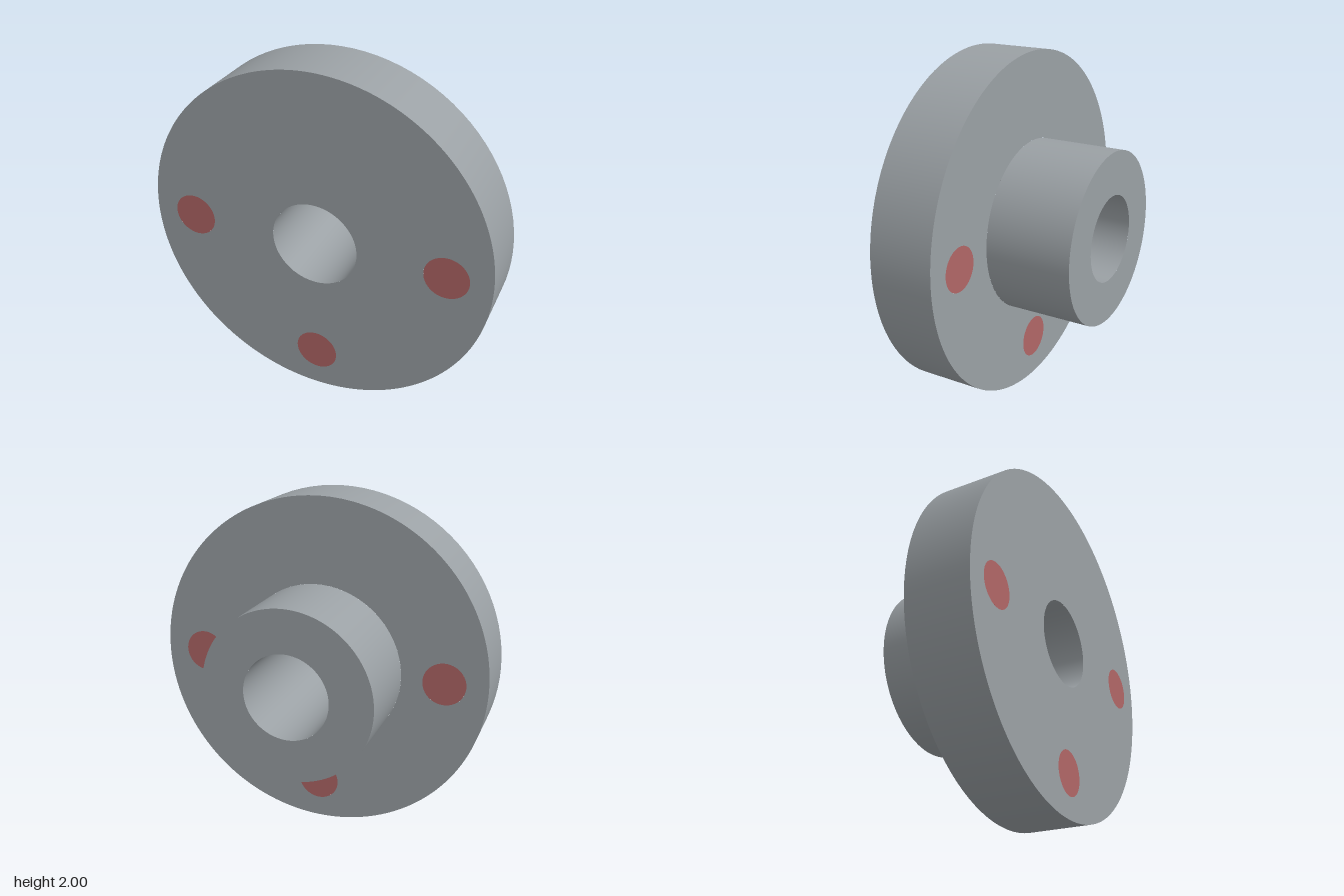
import * as THREE from 'three';

const SEGMENTS = 96;
const FRONT = 0.4375, STEP = 0.0625, BACK = -0.4375;
const FLANGE_R = 1, HUB_R = 0.5, BORE_R = 0.25, PIN_R = 0.125;
const PINS = [['leftPin', 0.75, 0], ['rightPin', -0.75, 0], ['bottomPin', 0, -0.75]];

export function createModel() {
  const steel = new THREE.MeshStandardMaterial({ color: 0x9aa0a4 });
  steel.name = 'steel grey';
  const red = new THREE.MeshStandardMaterial({ color: 0xb06666 });
  red.name = 'muted red';

  // Everything turns about the z axis through the centre of the flange
  const model = new THREE.Group();
  model.name = 'flangedHub';
  const add = (name, geometry, material) => {
    const mesh = new THREE.Mesh(geometry, material);
    mesh.name = name;
    mesh.position.y = 1;
    model.add(mesh);
    return mesh;
  };

  // Smooth round wall: faces outward when z0 < z1, inward when z0 > z1
  const wall = (radius, z0, z1) => new THREE.LatheGeometry(
    [new THREE.Vector2(radius, z0), new THREE.Vector2(radius, z1)], SEGMENTS).rotateX(Math.PI / 2);

  // Flat ring with a central hole and optional pin holes
  const face = (outer, inner, z, towardsFront, withPins) => {
    const shape = new THREE.Shape().absarc(0, 0, outer, 0, Math.PI * 2, false);
    const hole = (x, y, r) =>
      shape.holes.push(new THREE.Path().absarc(x, y, r, 0, Math.PI * 2, true));
    hole(0, 0, inner);
    if (withPins) PINS.forEach(([, x, y]) => hole(x, y, PIN_R));
    const geometry = new THREE.ShapeGeometry(shape, SEGMENTS);
    if (!towardsFront) geometry.rotateY(Math.PI);
    return geometry.translate(0, 0, z);
  };

  // Flange disc
  add('flangeRim', wall(FLANGE_R, STEP, FRONT), steel);
  add('flangeFrontFace', face(FLANGE_R, BORE_R, FRONT, true, true), steel);
  add('flangeBackFace', face(FLANGE_R, HUB_R, STEP, false, true), steel);

  // Hub and through bore
  add('hubWall', wall(HUB_R, BACK, STEP), steel);
  add('hubBackFace', face(HUB_R, BORE_R, BACK, false, false), steel);
  add('boreWall', wall(BORE_R, FRONT, BACK), steel);

  // Pins filling the flange holes, flush on both sides
  for (const [name, x, y] of PINS) {
    const pin = new THREE.CylinderGeometry(PIN_R, PIN_R, FRONT - STEP, SEGMENTS)
      .rotateX(Math.PI / 2)
      .translate(x, y, (FRONT + STEP) / 2);
    add(name, pin, red);
  }
  return model;
}
